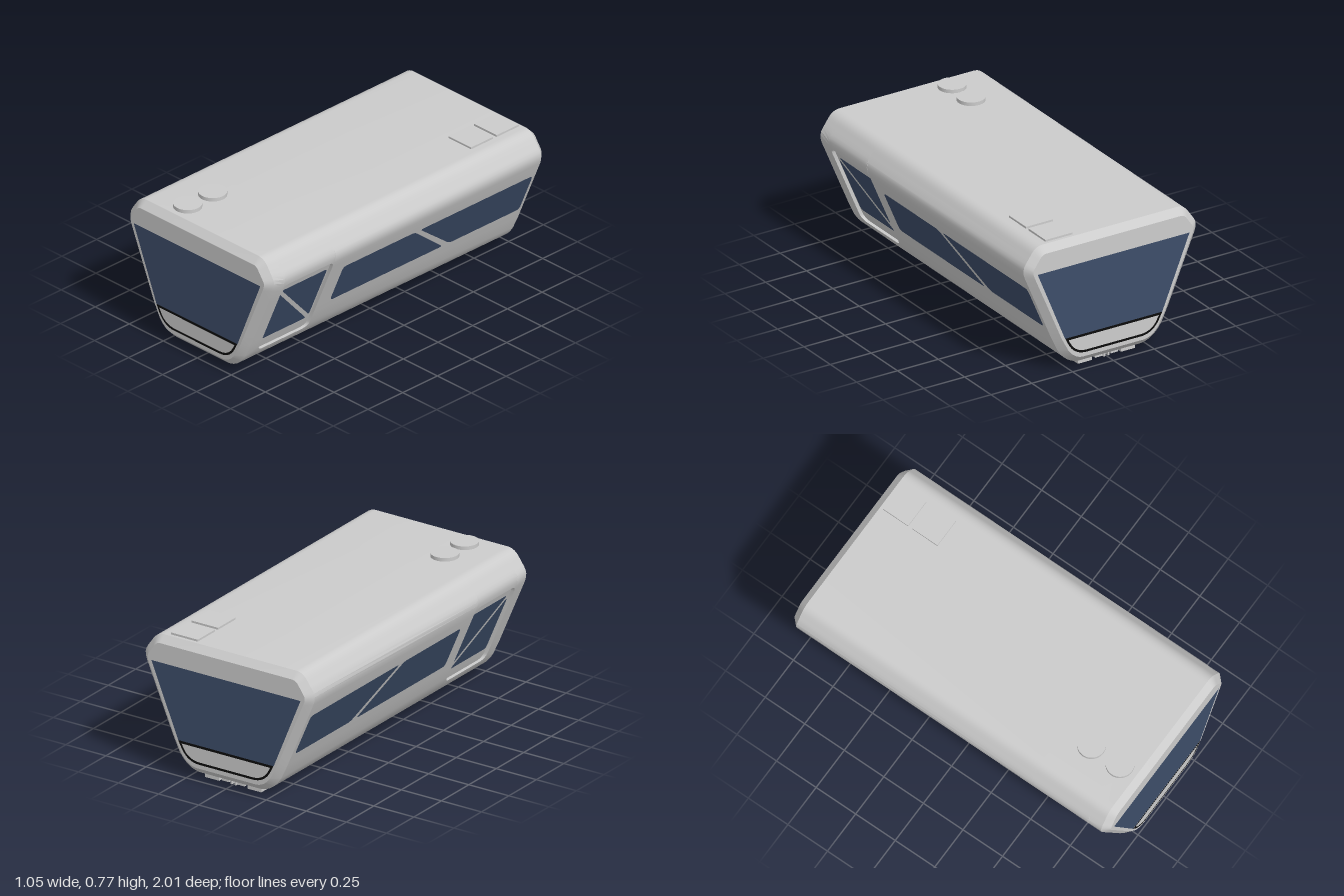
import * as THREE from 'three';
import { toCreasedNormals } from 'three/addons/utils/BufferGeometryUtils.js';

const grey = new THREE.MeshStandardMaterial({ color: 0xcccccc });
const glass = new THREE.MeshStandardMaterial({ color: 0x3d4d69, side: THREE.DoubleSide });
const black = new THREE.MeshStandardMaterial({ color: 0x0c0c0c, side: THREE.DoubleSide });

const CHAMFER = 0.037, RECESS = 0.02;
const DOOR = { z0: 0.52, z1: 0.885, y0: 0.13, y1: 0.59, r: 0.035 };

// Half cross-section of the hull, from bottom centre to top centre
const halfPath = new THREE.Path();
halfPath.moveTo(0, 0.037);
halfPath.lineTo(0.18, 0.037);
halfPath.quadraticCurveTo(0.284, 0.037, 0.345, 0.18);
halfPath.lineTo(0.515, 0.58);
halfPath.quadraticCurveTo(0.54, 0.633, 0.515, 0.668);
halfPath.lineTo(0.482, 0.715);
halfPath.quadraticCurveTo(0.455, 0.757, 0.41, 0.757);
halfPath.lineTo(0, 0.757);
const base = halfPath.getPoints(16);

// The half section moved inwards by k
function profile(k) {
  return base.map((p, i) => {
    const a = base[Math.max(i - 1, 0)], b = base[Math.min(i + 1, base.length - 1)];
    const t = b.clone().sub(a).normalize();
    return new THREE.Vector2(Math.max(0, p.x - t.y * k), p.y + t.x * k);
  });
}

// Half width of a section at height y
function widthAt(pts, y) {
  for (let i = 2; i < pts.length - 1; i++) {
    const a = pts[i - 1], b = pts[i];
    if (y <= b.y) return a.x + (b.x - a.x) * Math.min(1, Math.max(0, (y - a.y) / (b.y - a.y || 1)));
  }
  return pts[pts.length - 2].x;
}
const hull = profile(0);

// Closed ring of the hull; the door area between y0 and y1 is pushed in by depth
function ring(inset, y0, y1, depth) {
  const pts = inset ? profile(inset) : hull, n = 14, half = [];
  const bottom = pts[0].y, top = pts[pts.length - 1].y;
  const add = (y, d = 0) => half.push([widthAt(pts, y) - d, y]);
  half.push([0, bottom]);
  for (let i = 0; i <= n; i++) add(bottom + (y0 - bottom) * (i / n) ** 2);
  for (let i = 0; i <= 6; i++) add(y0 + (y1 - y0) * i / 6, depth);
  for (let i = 0; i <= n; i++) add(top - (top - y1) * (1 - i / n) ** 2);
  half.push([0, top]);
  return [...half, ...half.slice(1, -1).reverse().map(([x, y]) => [-x, y])];
}

function hullGeometry() {
  const { z0, z1, y0, y1, r } = DOOR;
  const stations = [[-1, ring(CHAMFER, y0, y1, 0)], [-1 + CHAMFER, ring(0, y0, y1, 0)]];
  // Stations through the door recess, with rounded corners
  const edge = [0, 0.08, 0.25, 0.5, 1].map(f => f * r);
  const zs = [...edge.map(e => z0 + e), ...edge.map(e => z1 - e).reverse()];
  zs.forEach((z, i) => {
    const e = Math.min(z - z0, z1 - z, r);
    const lift = r - Math.sqrt(Math.max(0, r * r - (r - e) ** 2));
    const open = ring(0, y0 + lift, y1 - lift, RECESS), flush = ring(0, y0 + lift, y1 - lift, 0);
    if (i === 0) stations.push([z, flush]);
    stations.push([z, open]);
    if (i === zs.length - 1) stations.push([z, flush]);
  });
  stations.push([1 - CHAMFER, ring(0, y0, y1, 0)], [1, ring(CHAMFER, y0, y1, 0)]);

  const pos = [], idx = [], m = stations[0][1].length;
  stations.forEach(([z, pts]) => pts.forEach(([x, y]) => pos.push(x, y, z)));
  for (let i = 0; i < stations.length - 1; i++) {
    for (let j = 0; j < m; j++) {
      const a = i * m + j, b = i * m + (j + 1) % m;
      idx.push(a, b, b + m, a, b + m, a + m);
    }
  }
  const g = new THREE.BufferGeometry();
  g.setAttribute('position', new THREE.Float32BufferAttribute(pos, 3));
  g.setIndex(idx);
  return toCreasedNormals(g, 0.45);
}

// Polygon with rounded corners
function roundedPolygon(corners, r) {
  const s = new THREE.Shape(), v = corners.map(c => new THREE.Vector2(...c)), n = v.length;
  v.forEach((p, i) => {
    const towards = q => p.clone().add(q.clone().sub(p).setLength(r));
    const a = towards(v[(i + n - 1) % n]), b = towards(v[(i + 1) % n]);
    if (i) s.lineTo(a.x, a.y); else s.moveTo(a.x, a.y);
    s.quadraticCurveTo(p.x, p.y, b.x, b.y);
  });
  s.closePath();
  return s;
}

// Bowl-shaped outline under the windscreen
function bowl(type, top, topX, midX, midY, ctrlX, flatX, bottom) {
  const s = new type();
  s.moveTo(-topX, top);
  s.lineTo(-midX, midY);
  s.quadraticCurveTo(-ctrlX, bottom, -flatX, bottom);
  s.lineTo(flatX, bottom);
  s.quadraticCurveTo(ctrlX, bottom, midX, midY);
  s.lineTo(topX, top);
  s.closePath();
  return s;
}

export function createModel() {
  const model = new THREE.Group();
  const add = (name, geo, mat, parent = model) => {
    const mesh = new THREE.Mesh(geo, mat);
    mesh.name = name;
    parent.add(mesh);
    return mesh;
  };
  add('hull', hullGeometry(), grey);

  // Front and back ends are alike
  const face = new THREE.Shape(ring(CHAMFER, DOOR.y0, DOOR.y1, 0).map(p => new THREE.Vector2(...p)));
  const screen = new THREE.Shape([[-0.297, 0.203], [0.297, 0.203], [0.465, 0.613], [-0.465, 0.613]]
    .map(p => new THREE.Vector2(...p)));
  const trim = bowl(THREE.Shape, 0.205, 0.297, 0.28, 0.172, 0.243, 0.165, 0.098);
  trim.holes.push(bowl(THREE.Path, 0.191, 0.277, 0.266, 0.172, 0.236, 0.163, 0.111));
  for (const end of ['front', 'back']) {
    const group = new THREE.Group();
    group.name = end + 'End';
    if (end === 'back') group.rotation.y = Math.PI;
    add(end + 'Panel', new THREE.ShapeGeometry(face), grey, group).position.z = 1;
    add(end + 'Screen', new THREE.ShapeGeometry(screen), glass, group).position.z = 1.002;
    add(end + 'Trim', new THREE.ShapeGeometry(trim), black, group).position.z = 1.003;
    model.add(group);
  }

  // Side windows as [z, y] outlines, laid onto the sloping walls
  const windows = [
    ['middleWindow', 0, 0.025, [[0.425, 0.51], [-0.09, 0.51], [-0.385, 0.273], [0.425, 0.273]]],
    ['rearWindow', 0, 0.025, [[-0.13, 0.51], [-0.94, 0.51], [-0.94, 0.273], [-0.435, 0.273]]],
    ['upperDoorWindow', RECESS, 0.02, [[0.86, 0.537], [0.533, 0.537], [0.533, 0.215]]],
    ['lowerDoorWindow', RECESS, 0.02, [[0.873, 0.52], [0.873, 0.198], [0.548, 0.198]]],
  ];
  for (const [side, sx] of [['left', 1], ['right', -1]]) {
    for (const [name, depth, r, corners] of windows) {
      const g = new THREE.ShapeGeometry(roundedPolygon(corners, r)), p = g.attributes.position;
      for (let i = 0; i < p.count; i++) {
        const z = p.getX(i), y = p.getY(i);
        p.setXYZ(i, sx * (widthAt(hull, y) - depth + 0.003), y, z);
      }
      g.computeVertexNormals();
      add(`${side} ${name}`, g, glass);
    }
  }

  // Roof fittings: two round caps and two square hatches
  for (const z of [0.68, 0.86]) {
    add('roofCap', new THREE.CylinderGeometry(0.075, 0.075, 0.03, 48), grey).position.set(-0.213, 0.762, z);
  }
  for (const z of [-0.865, -0.68]) {
    add('roofHatch', new THREE.BoxGeometry(0.165, 0.02, 0.16), grey).position.set(0.298, 0.758, z);
  }

  // Underside skid blocks with ramped fronts and a grooved middle
  const strip = (name, x0, x1, bottom, zFront) => {
    const s = new THREE.Shape();
    s.moveTo(0.935, 0.045);
    s.lineTo(zFront, 0.045);
    s.lineTo(zFront, 0.036);
    s.lineTo(zFront + 0.075, bottom);
    s.lineTo(0.935, bottom);
    s.closePath();
    const g = new THREE.ExtrudeGeometry(s, { depth: x1 - x0, bevelEnabled: false });
    g.rotateY(Math.PI / 2).translate(x0, 0, 0);
    add(name, g, grey);
  };
  for (const sx of [1, -1]) {
    const bands = [['skidInner', 0.008, 0.018, 0.003, 0.68], ['skidGroove', 0.018, 0.088, 0.026, 0.69],
      ['skidRib', 0.026, 0.07, 0.01, 0.72], ['skidOuter', 0.088, 0.175, 0.003, 0.68]];
    for (const [name, a, b, bottom, z] of bands) {
      strip(name, sx > 0 ? a : -b, sx > 0 ? b : -a, bottom, z);
    }
  }
  return model;
}
